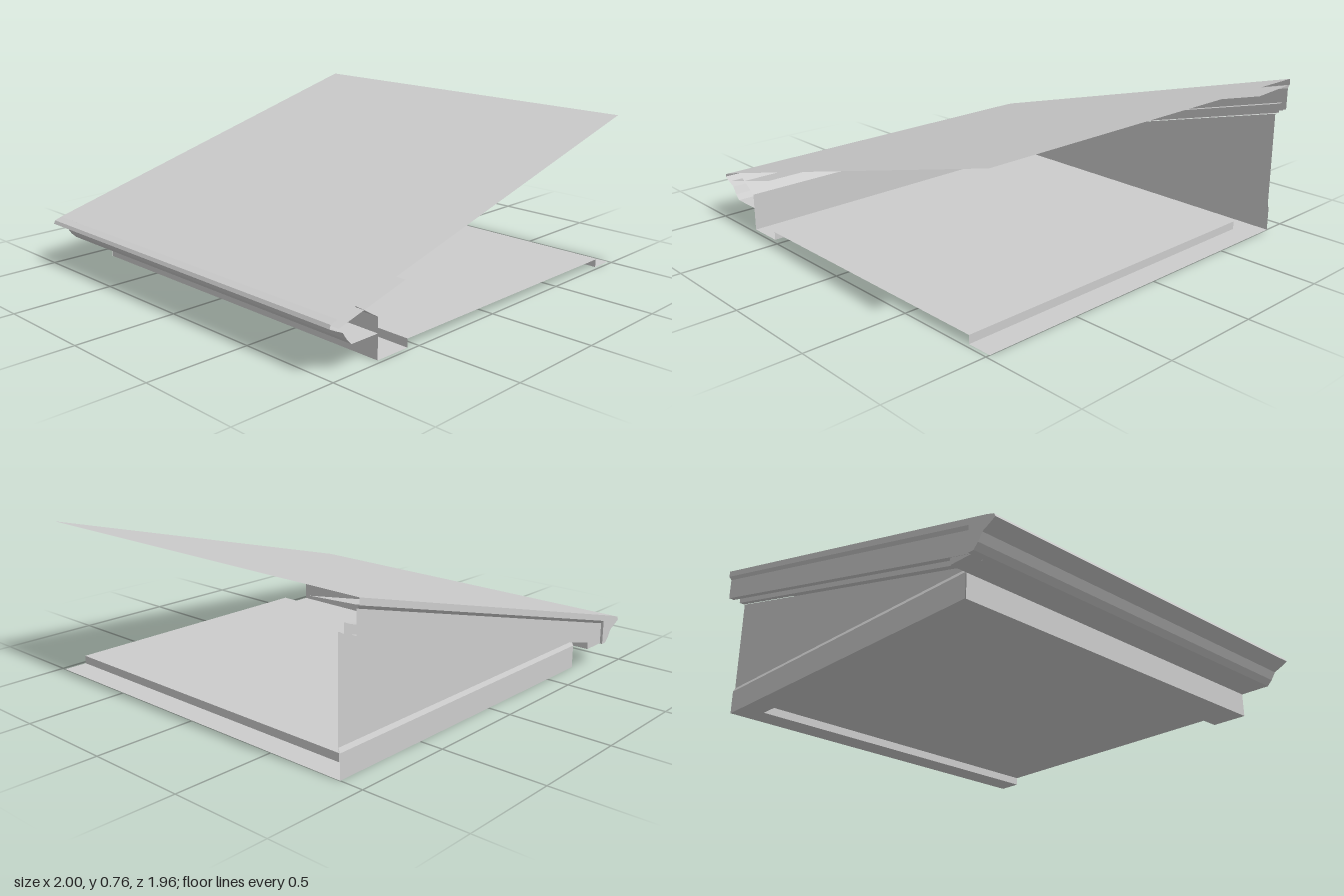
import * as THREE from 'three';

const grey = new THREE.MeshStandardMaterial({ color: 0xcccccc, side: THREE.DoubleSide });
grey.name = 'plain grey';

const FRONT = 0.98, BACK = -0.98, WALL_Z = -0.88, WALL_X = -0.73;
const roofY = (x) => 0.757 + 0.265 * (x - 1);

// Open sheet joining two matching rows of points, with flat faces
function sheet(name, rowA, rowB) {
  const pos = [];
  for (let i = 0; i < rowA.length - 1; i++) {
    const [a, b, c, d] = [rowA[i], rowA[i + 1], rowB[i + 1], rowB[i]];
    pos.push(...a, ...b, ...c, ...a, ...c, ...d);
  }
  const geo = new THREE.BufferGeometry();
  geo.setAttribute('position', new THREE.Float32BufferAttribute(pos, 3));
  geo.computeVertexNormals();
  const mesh = new THREE.Mesh(geo, grey);
  mesh.name = name;
  return mesh;
}

// Sweep an [x, y] profile along z
const alongZ = (name, profile, z0, z1) =>
  sheet(name, profile.map(([x, y]) => [x, y, z0]), profile.map(([x, y]) => [x, y, z1]));

// Sweep a [z, drop below roof] profile up the roof slope
const alongSlope = (name, profile, x0, x1) =>
  sheet(name, profile.map(([z, d]) => [x0, roofY(x0) - d, z]), profile.map(([z, d]) => [x1, roofY(x1) - d, z]));

// Solid [x, y] outline extruded from z0 to z1
function block(name, outline, z0, z1) {
  const shape = new THREE.Shape(outline.map(([x, y]) => new THREE.Vector2(x, y)));
  const geo = new THREE.ExtrudeGeometry(shape, { depth: z1 - z0, bevelEnabled: false });
  geo.translate(0, 0, z0);
  const mesh = new THREE.Mesh(geo, grey);
  mesh.name = name;
  return mesh;
}

export function createModel() {
  const model = new THREE.Group();
  model.name = 'roofCornerSection';

  // Sloping roof sheet and the lining under its two overhangs
  model.add(alongSlope('roof', [[FRONT, 0], [BACK, 0]], -0.957, 1));
  model.add(alongSlope('rakeLining', [[-0.73, 0.042], [-0.965, 0.03]], -0.95, 1));
  model.add(alongSlope('eaveLining', [[FRONT, 0.042], [-0.73, 0.042]], -0.95, -0.57));

  // Moulded rake cornice: edge, fascia, recessed soffit and frieze
  model.add(alongSlope('rakeCornice', [
    [BACK, 0], [BACK, 0.03], [-0.967, 0.045], [-0.967, 0.15], [-0.94, 0.15],
    [-0.94, 0.11], [-0.905, 0.11], [-0.905, 0.155], [WALL_Z, 0.155],
  ], -0.85, 1));
  model.add(alongSlope('rakeEdge', [[BACK, 0], [BACK, 0.028], [-0.96, 0.028]], -0.957, -0.85));

  // Moulded eave cornice with soffit
  const moulding = [
    [-0.957, 0.238], [-0.992, 0.226], [-1, 0.21], [-0.965, 0.192], [-0.928, 0.175],
    [-0.905, 0.14], [-0.88, 0.115], [-0.85, 0.115],
  ];
  model.add(alongZ('eaveCornice', [...moulding, [WALL_X, 0.115]], FRONT, WALL_Z));

  // Solid cornice return at the corner
  model.add(block('cornerReturn', [...moulding, [-0.85, 0.262]], BACK, WALL_Z));
  model.add(block('returnBacking',
    [[-0.85, 0.115], [WALL_X, 0.115], [WALL_X, 0.185], [-0.85, 0.26]], -0.965, WALL_Z));

  // Eave wall with a slanted upper board
  model.add(alongZ('eaveWall', [[WALL_X, 0], [WALL_X, 0.185], [-0.85, 0.26]], FRONT, WALL_Z));

  // Gable wall, with a slightly proud base course
  const top = (x) => roofY(x) - 0.155;
  model.add(sheet('gableWall',
    [[WALL_X, 0.115, -0.875], [1, 0.115, -0.875]],
    [[WALL_X, top(WALL_X), -0.875], [1, top(1), -0.875]]));
  model.add(sheet('baseCourse',
    [[WALL_X, 0, -0.885], [WALL_X, 0.115, -0.885], [WALL_X, 0.135, -0.875]],
    [[1, 0, -0.885], [1, 0.115, -0.885], [1, 0.135, -0.875]]));

  // Floor: low rim on three sides around a raised panel
  const x0 = -0.55, x1 = 0.88, zb = -0.77, h = 0.04;
  model.add(alongZ('floor',
    [[WALL_X, 0], [x0, 0], [x0, h], [x1, h], [x1, 0], [1, 0]], FRONT, zb));
  model.add(alongZ('backFloorRim', [[WALL_X, 0], [1, 0]], zb, -0.885));
  model.add(sheet('floorStep', [[x0, 0, zb], [x1, 0, zb]], [[x0, h, zb], [x1, h, zb]]));

  return model;
}
